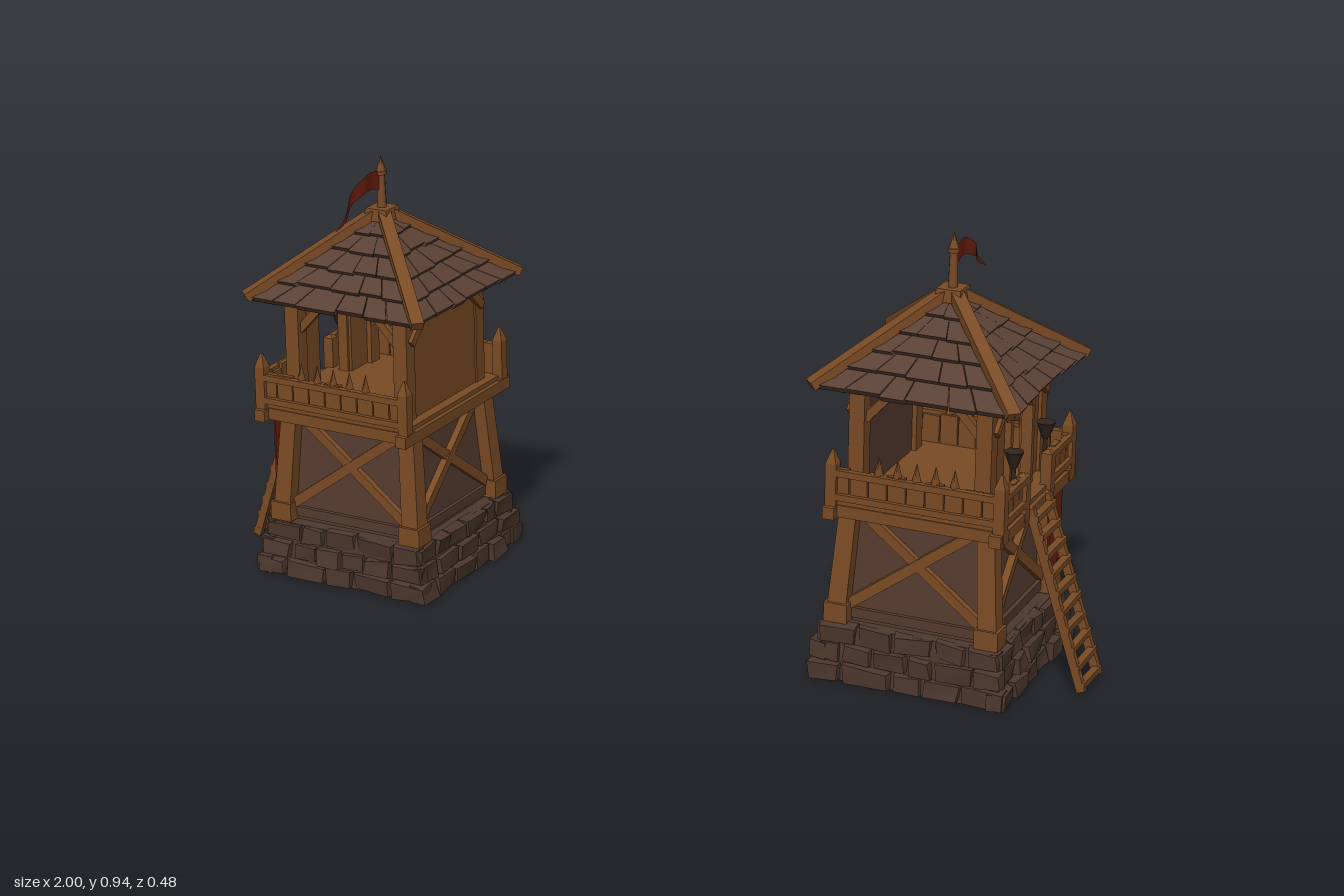
import * as THREE from 'three';

const mat = (name, color, side = THREE.FrontSide) => {
  const m = new THREE.MeshStandardMaterial({ color, side });
  m.name = name;
  return m;
};
const WOOD = mat('warm timber', 0x7a4b25);
const WALL = mat('dark boards', 0x553b2f);
const ROOF = mat('roof shingles', 0x5b4135);
const STONE = mat('base stone', 0x4d382e);
const RED = mat('red cloth', 0x6e1f0f, THREE.DoubleSide);
const IRON = mat('dark iron', 0x30261f);

let seed = 7;
const rnd = () => (seed = (seed * 16807) % 2147483647) / 2147483647;
const jit = (a) => (rnd() * 2 - 1) * a;

function add(parent, name, geo, material) {
  const m = new THREE.Mesh(geo, material);
  m.name = name;
  parent.add(m);
  return m;
}
function group(parent, name, turn = 0) {
  const g = new THREE.Group();
  g.name = name;
  g.rotation.y = turn;
  parent.add(g);
  return g;
}
// Box given by its centre and size
function box(parent, name, material, x, y, z, w, h, d) {
  const m = add(parent, name, new THREE.BoxGeometry(w, h, d), material);
  m.position.set(x, y, z);
  return m;
}
// Square timber between two points
function beam(parent, name, material, a, b, w, h = w) {
  const A = new THREE.Vector3(...a), B = new THREE.Vector3(...b);
  const m = new THREE.Mesh(new THREE.BoxGeometry(w, h, A.distanceTo(B)), material);
  m.name = name;
  m.position.copy(A).add(B).multiplyScalar(0.5);
  m.lookAt(B);
  parent.add(m);
  return m;
}
// Box whose corners (each axis -1 or 1) are moved by a rule
function warp(parent, name, material, rule) {
  const geo = new THREE.BoxGeometry(2, 2, 2);
  const p = geo.attributes.position;
  for (let i = 0; i < p.count; i++) p.setXYZ(i, ...rule(p.getX(i), p.getY(i), p.getZ(i)));
  geo.computeVertexNormals();
  return add(parent, name, geo, material);
}
// Leaning, tapering square post
const post = (parent, name, material, [x0, y0, z0], s0, [x1, y1, z1], s1) =>
  warp(parent, name, material, (x, y, z) =>
    y < 0 ? [x0 + x * s0, y0, z0 + z * s0] : [x1 + x * s1, y1, z1 + z * s1]);

function stoneBase(t) {
  const g = group(t, 'stoneBase');
  post(g, 'stoneCore', STONE, [0, 0, 0], 0.205, [0, 0.12, 0], 0.19);
  for (let k = 0; k < 4; k++) {
    const side = group(g, 'stoneSide', k * Math.PI / 2);
    for (let row = 0; row < 3; row++) {
      const h = 0.216 - row * 0.008, n = 5 + (row + k) % 2;
      const cuts = Array.from({ length: n + 1 }, (_, i) =>
        -h + 2 * h * i / n + (i % n ? jit(0.014) : 0));
      for (let i = 0; i < n; i++) {
        const c = Array.from({ length: 8 }, () => [jit(0.004), jit(0.004), jit(0.006)]);
        const mid = (cuts[i] + cuts[i + 1]) / 2, half = (cuts[i + 1] - cuts[i]) / 2 - 0.002;
        const out = h + jit(0.005);
        warp(side, 'stone', STONE, (x, y, z) => {
          const j = c[(x > 0 ? 1 : 0) + (y > 0 ? 2 : 0) + (z > 0 ? 4 : 0)];
          const shrink = z > 0 ? 0.92 : 1;
          return [mid + x * half * shrink + j[0],
            Math.max(0, row * 0.041 + 0.02 + y * 0.0195 * shrink + j[1]),
            z > 0 ? out + j[2] : 0.18];
        });
      }
    }
  }
}

function lowerBody(t) {
  const g = group(t, 'lowerBody');
  post(g, 'boardWalls', WALL, [0, 0.11, 0], 0.16, [0, 0.38, 0], 0.14);
  for (const x of [-1, 1]) for (const z of [-1, 1]) {
    post(g, 'leg', WOOD, [x * 0.168, 0.12, z * 0.168], 0.021, [x * 0.15, 0.38, z * 0.15], 0.019);
    box(g, 'legFoot', WOOD, x * 0.166, 0.143, z * 0.166, 0.052, 0.042, 0.052);
  }
  for (let k = 0; k < 4; k++) {
    const side = group(g, 'crossBracing', k * Math.PI / 2);
    beam(side, 'brace', WOOD, [-0.145, 0.16, 0.163], [0.13, 0.362, 0.147], 0.016, 0.022);
    beam(side, 'brace', WOOD, [0.145, 0.16, 0.161], [-0.13, 0.362, 0.145], 0.016, 0.022);
    box(side, 'sill', WALL, 0, 0.14, 0.159, 0.29, 0.022, 0.014);
    box(side, 'headBeam', WOOD, 0, 0.36, 0.148, 0.3, 0.022, 0.02);
  }
}

// Plank railing from a to b along the local x axis, facing +z
function railing(parent, a, b, n, stakes) {
  const w = (b - a) / n, mid = (a + b) / 2;
  for (let i = 0; i < n; i++) {
    const h = 0.068 + jit(0.006), x = a + w * (i + 0.5);
    box(parent, 'railPlank', WOOD, x, 0.398 + h / 2, 0, w * 0.93, h, 0.012).rotation.z = jit(0.03);
    if (stakes && i > 1 && i < n - 2) {
      const s = add(parent, 'stakePoint', new THREE.ConeGeometry(0.011, 0.04, 4), WOOD);
      s.position.set(x, 0.488, 0);
    }
  }
  box(parent, 'topRail', WOOD, mid, 0.462, 0.008, b - a, 0.014, 0.014);
  box(parent, 'bottomRail', WOOD, mid, 0.41, 0.008, b - a, 0.014, 0.014);
}

function balcony(t) {
  const g = group(t, 'balcony');
  box(g, 'deck', WOOD, 0.01, 0.39, 0, 0.37, 0.018, 0.41);
  for (const s of [-1, 1]) {
    beam(g, 'deckBeam', WOOD, [-0.185, 0.378, s * 0.195], [0.205, 0.378, s * 0.195], 0.026);
    const front = group(g, 'longRailing', s > 0 ? 0 : Math.PI);
    front.position.set(0.01, 0, s * 0.2);
    railing(front, -0.185, 0.185, 9, true);
    const door = group(g, 'doorRailing', Math.PI / 2);
    door.position.set(0.19, 0, s * 0.14);
    railing(door, -0.07, 0.07, 4, false);
    for (const [x, z, h] of [[0.193, 0.203, 0.485], [0.193, 0.074, 0.468], [-0.172, 0.203, 0.48]]) {
      box(g, 'railPost', WOOD, x, (0.37 + h) / 2, s * z, 0.024, h - 0.37, 0.024);
      post(g, 'postPoint', WOOD, [x, h, s * z], 0.012, [x, h + (z > 0.1 ? 0.03 : 0.006), s * z], 0.002);
    }
  }
  for (const x of [-0.172, 0.19]) {
    beam(g, 'crossBeam', WOOD, [x, 0.376, -0.225], [x, 0.376, 0.225], 0.026);
  }
}

function guardRoom(t) {
  const g = group(t, 'guardRoom');
  for (const x of [-1, 1]) for (const z of [-1, 1]) {
    box(g, 'cornerPost', WOOD, x * 0.138, 0.515, z * 0.147, 0.034, 0.25, 0.034);
    beam(g, 'postBrace', WOOD, [x * 0.125, 0.565, z * 0.147], [x * 0.068, 0.628, z * 0.147], 0.014, 0.018);
    beam(g, 'eaveBrace', WOOD, [x * 0.158, 0.575, z * 0.15], [x * 0.158, 0.632, z * 0.09], 0.012, 0.018);
  }
  for (const s of [-1, 1]) {
    box(g, 'plateBeam', WOOD, 0, 0.638, s * 0.15, 0.36, 0.024, 0.03);
    box(g, 'plateBeam', WOOD, s * 0.142, 0.638, 0, 0.03, 0.024, 0.36);
    // Doorway side panels and frame
    box(g, 'doorWall', WOOD, 0.14, 0.515, s * 0.103, 0.016, 0.24, 0.078);
    box(g, 'doorPost', WOOD, 0.15, 0.485, s * 0.064, 0.024, 0.19, 0.014);
    beam(g, 'doorCorner', WOOD, [0.15, 0.572, s * 0.066], [0.15, 0.603, s * 0.044], 0.024, 0.016);
    // Fire bowls beside the door
    const bowl = add(g, 'fireBowl', new THREE.CylinderGeometry(0.021, 0.008, 0.035, 8), IRON);
    bowl.position.set(0.178, 0.508, s * 0.095);
    const stem = add(g, 'bowlStem', new THREE.CylinderGeometry(0.005, 0.005, 0.05, 6), IRON);
    stem.position.set(0.178, 0.468, s * 0.095);
  }
  box(g, 'doorLintel', WOOD, 0.15, 0.602, 0, 0.024, 0.016, 0.1);
  box(g, 'wallOverDoor', WOOD, 0.14, 0.62, 0, 0.016, 0.03, 0.15);
  // Closed wall: timber outside, dark boards inside
  box(g, 'closedWall', WOOD, -0.144, 0.515, 0, 0.014, 0.25, 0.3);
  box(g, 'wallLining', WALL, -0.134, 0.515, 0, 0.006, 0.25, 0.27);
}

function roof(t) {
  const g = group(t, 'roof');
  const rows = 5, counts = [6, 5, 4, 3, 2];
  for (let k = 0; k < 4; k++) {
    const side = group(g, 'roofSlope', k * Math.PI / 2);
    for (let r = 0; r < rows; r++) {
      const n = counts[r];
      const cuts = Array.from({ length: n + 1 }, (_, i) => -1 + 2 * i / n + (i % n ? jit(0.08) : 0));
      for (let i = 0; i < n; i++) {
        const low = r / rows - 0.02 + jit(0.018), high = (r + 1) / rows;
        warp(side, 'shingle', ROOF, (x, y, z) => {
          const f = y < 0 ? low : high, h = 0.207 * (1 - f);
          const lift = z > 0 ? (y < 0 ? 0.014 : 0.003) : 0;
          const s = x < 0 ? cuts[i] + 0.006 : cuts[i + 1] - 0.006;
          return [s * (h + lift * 0.5), 0.64 + 0.162 * f + lift * 0.8, h + lift * 0.6];
        });
      }
    }
    // Hip timbers over the corners
    beam(side, 'hipTimber', WOOD, [0.218, 0.646, 0.218], [0.01, 0.812, 0.01], 0.028, 0.02);
    for (const x of [-0.13, -0.045, 0.045, 0.13]) {
      beam(side, 'rafterEnd', WOOD, [x, 0.668, 0.15], [x, 0.637, 0.193], 0.012, 0.012);
    }
  }
  post(g, 'roofCap', WOOD, [0, 0.795, 0], 0.03, [0, 0.822, 0], 0.026);
}

function flagAndBanner(t) {
  const g = group(t, 'flagAndBanner');
  const pole = add(g, 'flagPole', new THREE.CylinderGeometry(0.008, 0.011, 0.09, 8), WOOD);
  pole.position.y = 0.86;
  const collar = add(g, 'poleCollar', new THREE.CylinderGeometry(0.013, 0.013, 0.008, 8), WOOD);
  collar.position.y = 0.9;
  const tip = add(g, 'poleTip', new THREE.ConeGeometry(0.011, 0.036, 6), WOOD);
  tip.position.y = 0.921;
  // Pennant: a strip that waves, droops and narrows to a point
  const geo = new THREE.PlaneGeometry(1, 1, 14, 1);
  const p = geo.attributes.position;
  for (let i = 0; i < p.count; i++) {
    const u = p.getX(i) + 0.5;
    const y = 0.88 + 0.012 * Math.sin(u * 5) - 0.056 * u * u * u + p.getY(i) * 0.04 * (1 - u ** 2.5);
    p.setXYZ(i, 0.008 * Math.sin(u * 13) * u, y, -0.186 * u);
  }
  geo.computeVertexNormals();
  add(g, 'pennant', geo, RED);
  // Hanging banner beside the ladder
  const s = new THREE.Shape([[-0.037, 0.38], [-0.037, 0.205], [-0.022, 0.212], [-0.002, 0.183],
    [0.02, 0.205], [0.037, 0.2], [0.037, 0.38]].map((q) => new THREE.Vector2(...q)));
  const cloth = add(g, 'banner', new THREE.ExtrudeGeometry(s, { depth: 0.004, bevelEnabled: false }), RED);
  cloth.rotation.y = Math.PI / 2;
  cloth.position.set(0.195, 0, -0.12);
}

function ladder(t) {
  const g = group(t, 'ladder');
  for (const z of [-0.045, 0.053]) {
    beam(g, 'ladderRail', WOOD, [0.329, 0.006, z], [0.203, 0.39, z], 0.014, 0.018);
  }
  for (let i = 0; i < 10; i++) {
    const f = (i + 0.5) / 10;
    const rung = box(g, 'rung', WOOD, 0.335 - 0.126 * f, 0.39 * f, 0.004, 0.016, 0.013, 0.112);
    rung.rotation.x = jit(0.04);
  }
}

export function createModel() {
  const model = new THREE.Group();
  model.name = 'watchtowers';
  const tower = group(model, 'leftTower', -0.015);
  [stoneBase, lowerBody, balcony, guardRoom, roof, flagAndBanner, ladder].forEach((part) => part(tower));
  const twin = tower.clone();
  twin.name = 'rightTower';
  twin.rotation.y = Math.PI - 0.05;
  tower.position.x = 0.661;
  twin.position.x = -0.661;
  model.add(twin);
  return model;
}
